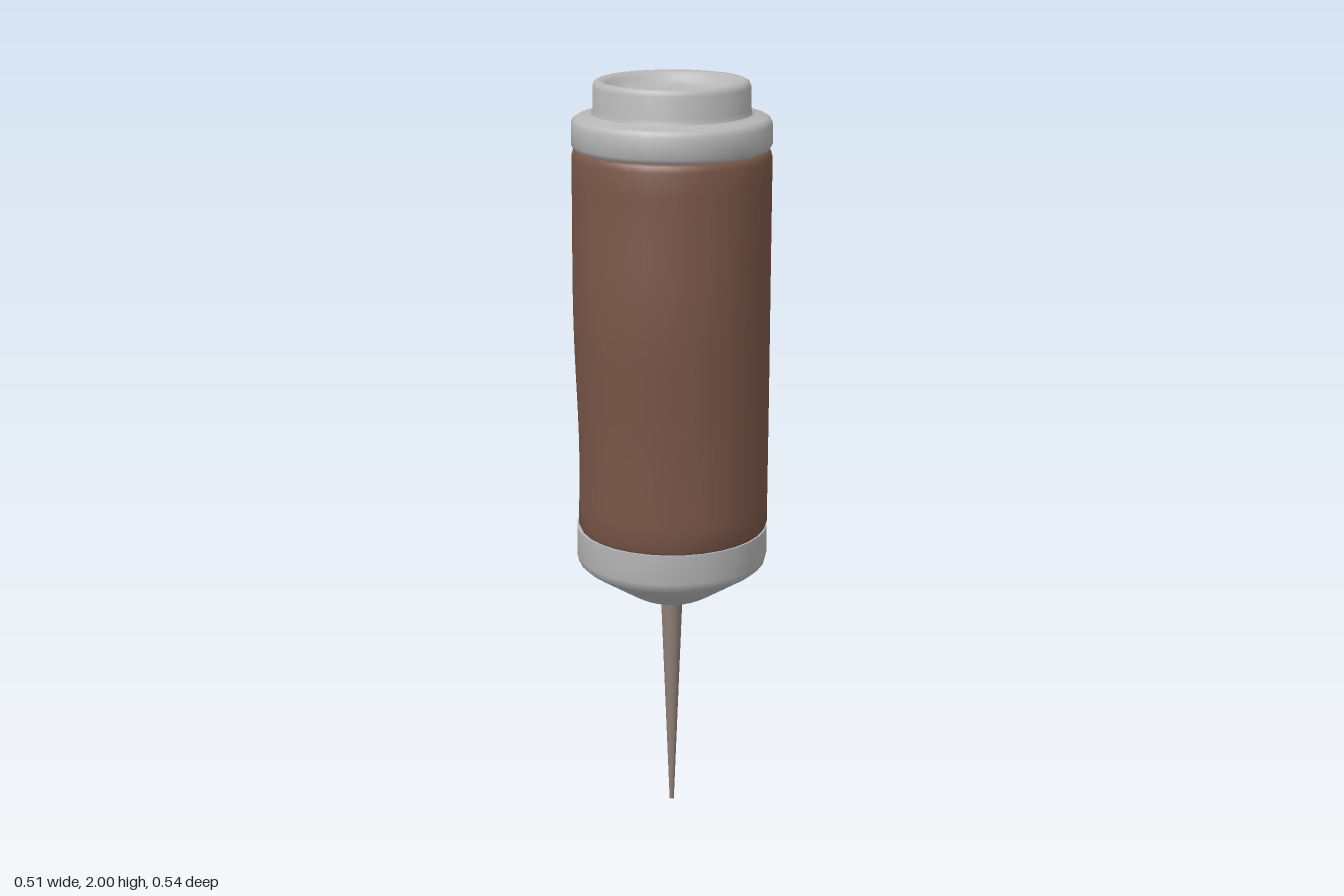
import * as THREE from 'three';
import { toCreasedNormals } from 'three/addons/utils/BufferGeometryUtils.js';

const SIDES = 32;

export function createModel() {
  const material = (name, color) => {
    const m = new THREE.MeshStandardMaterial({ color });
    m.name = name;
    return m;
  };
  const grey = material('light grey', 0xb6b6b6);
  const brown = material('brown', 0x795648);
  const steel = material('warm steel', 0x8f8078);

  const group = new THREE.Group();
  group.name = 'awl';

  // Turned part from [radius, height] points, bottom to top, with optional reshaping
  function turned(name, points, mat, reshape, sides = SIDES, crease = 0.75) {
    const geo = new THREE.LatheGeometry(points.map(([r, y]) => new THREE.Vector2(r, y)), sides);
    if (reshape) {
      const pos = geo.attributes.position;
      const v = new THREE.Vector3();
      for (let i = 0; i < pos.count; i++) {
        reshape(v.fromBufferAttribute(pos, i));
        pos.setXYZ(i, v.x, v.y, v.z);
      }
    }
    const mesh = new THREE.Mesh(toCreasedNormals(geo, crease), mat);
    mesh.name = name;
    group.add(mesh);
  }

  // Tapered blade
  turned('spike', [[0, 0], [0.006, 0], [0.03, 0.625]], steel, null, 16);

  // Conical collar under the grip
  turned('ferrule', [
    [0, 0.62], [0.075, 0.62], [0.095, 0.624], [0.115, 0.635],
    [0.235, 0.714], [0.25, 0.728], [0.254, 0.745], [0.254, 0.825], [0, 0.825],
  ], grey);

  // Grip, swelling front and back and hollowed on its right side
  const bump = (y, centre, width) => Math.exp(-(((y - centre) / width) ** 2));
  const gripProfile = [[0, 0.823], [0.248, 0.823]];
  for (let i = 0; i <= 16; i++) gripProfile.push([0.254, 0.835 + (i / 16) * 0.975]);
  gripProfile.push([0.25, 1.824], [0.243, 1.83], [0, 1.83]);
  turned('grip', gripProfile, brown, (v) => {
    const r = Math.hypot(v.x, v.z);
    if (r < 0.1) return;
    const front = Math.max(0, v.z / r) ** 2;
    const back = Math.max(0, -v.z / r) ** 2;
    const right = Math.max(0, -v.x / r) ** 3;
    const k = 1 + (front * 0.017 * bump(v.y, 1.42, 0.23)
      + back * 0.012 * bump(v.y, 1.2, 0.24)
      - right * 0.011 * bump(v.y, 1.03, 0.24)) / r;
    v.x *= k;
    v.z *= k;
  });

  // Stepped cap with a dished top and a small nick in its rim
  turned('cap', [
    [0, 1.826], [0.24, 1.826], [0.249, 1.833], [0.254, 1.842], [0.254, 1.893],
    [0.249, 1.904], [0.24, 1.91], [0.215, 1.911], [0.203, 1.917], [0.199, 1.93],
    [0.199, 1.984], [0.195, 1.995], [0.186, 2], [0.174, 1.998],
    [0.163, 1.99], [0.153, 1.976], [0.142, 1.969], [0, 1.969],
  ], grey, (v) => {
    if (v.x < -0.235 && Math.abs(v.z) < 0.01) v.x = -0.238;
  });

  return group;
}
